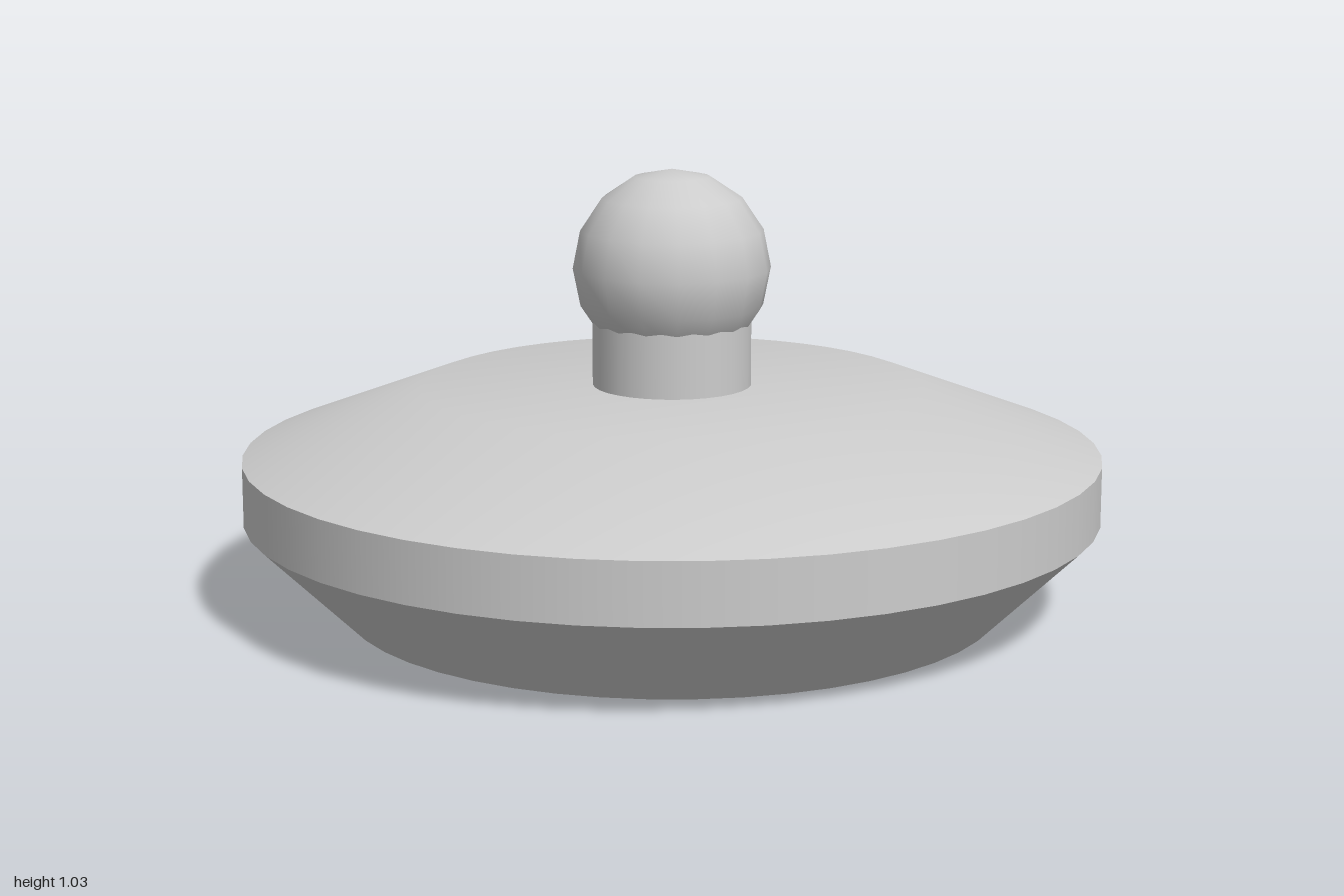
import * as THREE from 'three';

export function createModel() {
  const group = new THREE.Group();
  const grey = new THREE.MeshStandardMaterial({ color: 0xcccccc });
  grey.name = 'plain grey';

  const add = (name, geometry, y = 0) => {
    const mesh = new THREE.Mesh(geometry, grey);
    mesh.name = name;
    mesh.position.y = y;
    group.add(mesh);
  };
  // Each lathe is smooth inside; separate lathes keep the edges between them sharp
  const turned = (...points) =>
    new THREE.LatheGeometry(points.map(([r, y]) => new THREE.Vector2(r, y)), 48);

  // Lid body, from the flat underside up to the gently sloped top
  add('underside', turned([0, 0], [0.77, 0]));
  add('lowerBevel', turned([0.77, 0], [1, 0.225]));
  add('rim', turned([1, 0.225], [1, 0.365]));
  add('slopedTop', turned([1, 0.365], [0.585, 0.523], [0, 0.523]));

  // Knob on a short neck
  add('neck', new THREE.CylinderGeometry(0.185, 0.185, 0.18, 32), 0.6);
  add('knob', new THREE.SphereGeometry(0.23, 16, 8), 0.797);

  return group;
}
